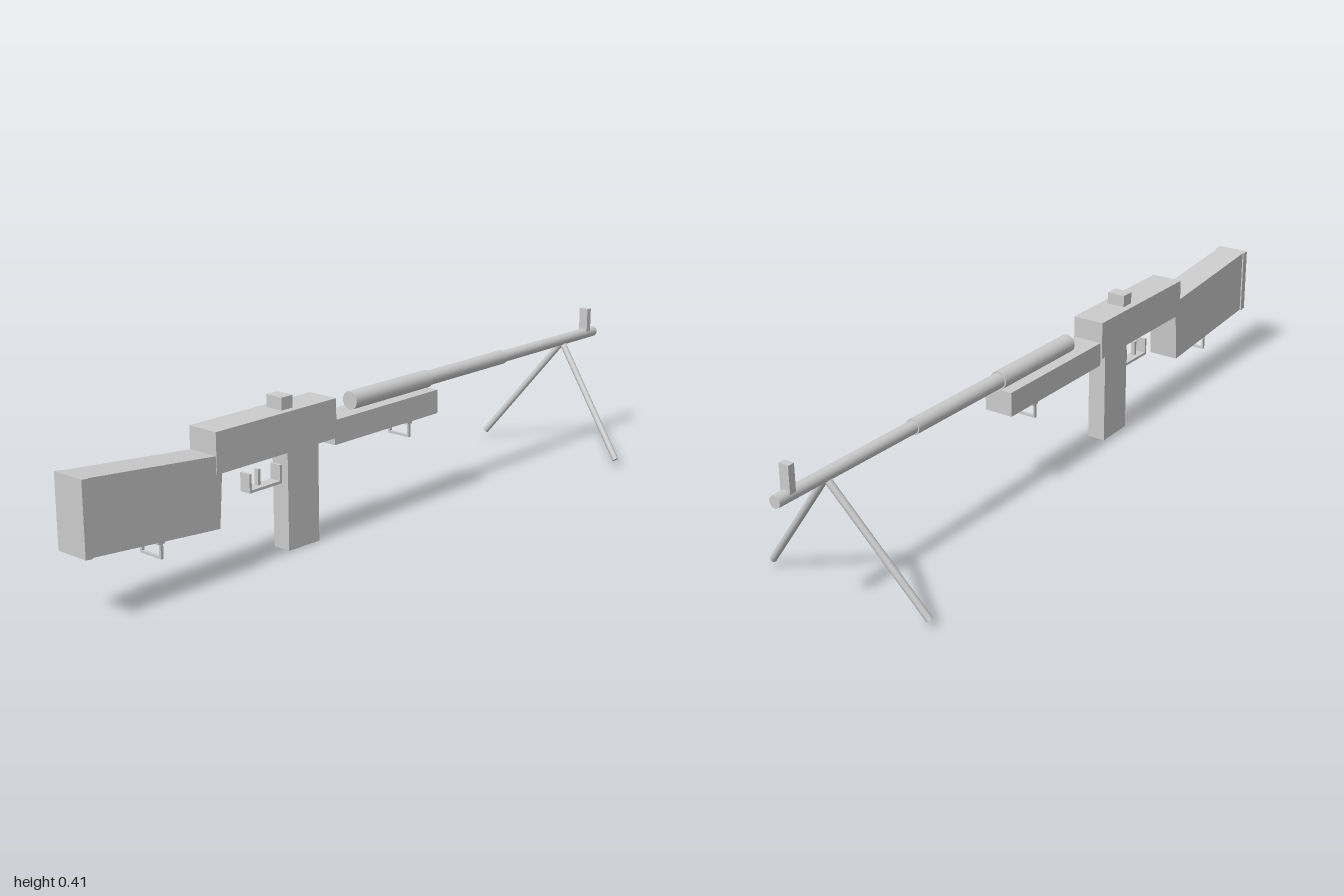
import * as THREE from 'three';

export function createModel() {
  const model = new THREE.Group();
  const mat = new THREE.MeshStandardMaterial({ color: 0xcccccc });
  const add = (name, geo, parent = model) => {
    const mesh = new THREE.Mesh(geo, mat);
    mesh.name = name;
    parent.add(mesh);
    return mesh;
  };
  // Box given by half width and its y and z ranges, centred on x
  const box = (name, hw, y0, y1, z0, z1, x = 0, parent = model) => {
    const m = add(name, new THREE.BoxGeometry(hw * 2, y1 - y0, z1 - z0), parent);
    m.position.set(x, (y0 + y1) / 2, (z0 + z1) / 2);
    return m;
  };
  // Side outline of [z, y] points, extruded across x
  const slab = (name, hw, pts) => {
    const shape = new THREE.Shape(pts.map(([z, y]) => new THREE.Vector2(-z, y)));
    const geo = new THREE.ExtrudeGeometry(shape, { depth: hw * 2, bevelEnabled: false });
    geo.translate(0, 0, -hw).rotateY(Math.PI / 2);
    return add(name, geo);
  };
  // Round rod between two points
  const rod = (name, a, b, r, parent = model) => {
    const dir = b.clone().sub(a);
    const m = add(name, new THREE.CylinderGeometry(r, r, dir.length(), 16), parent);
    m.position.copy(a).add(b).multiplyScalar(0.5);
    m.quaternion.setFromUnitVectors(new THREE.Vector3(0, 1, 0), dir.normalize());
    return m;
  };

  // Stock and butt plate
  slab('stock', 0.043, [[0.98, 0.346], [0.608, 0.31], [0.59, 0.31], [0.59, 0.265], [0.6, 0.13], [0.98, 0.164]]);
  slab('buttPlate', 0.047, [[1, 0.348], [0.98, 0.346], [0.98, 0.163], [1, 0.165]]);

  // Receiver, fore-end and magazine
  box('receiver', 0.045, 0.265, 0.368, 0.2, 0.608);
  box('foreEnd', 0.04, 0.245, 0.31, -0.205, 0.2);
  slab('magazine', 0.026, [[0.355, 0.27], [0.355, 0.003], [0.246, 0], [0.246, 0.27]]);

  // Stepped barrel
  const profile = [[0, -0.1], [0.024, -0.1], [0.024, 0.205], [0.02, 0.205], [0.02, 0.54],
    [0.0165, 0.54], [0.0155, 1], [0, 1]];
  const points = [];
  profile.forEach(([r, l], i) => {
    const v = new THREE.Vector2(r, l);
    points.push(v);
    if (i > 0 && i < profile.length - 1) points.push(v.clone()); // doubled for a hard edge
  });
  const barrel = add('barrel', new THREE.LatheGeometry(points, 24));
  barrel.rotation.x = -Math.PI / 2;
  barrel.position.y = 0.334;

  // Sights
  box('rearSight', 0.026, 0.365, 0.4, 0.335, 0.373);
  box('frontSight', 0.014, 0.34, 0.41, -0.966, -0.948);

  // Trigger guard
  const guard = new THREE.Group();
  guard.name = 'triggerGuard';
  model.add(guard);
  box('guardBar', 0.016, 0.18, 0.187, 0.366, 0.476, 0, guard);
  for (const z of [0.366, 0.469]) box('guardPost', 0.016, 0.187, 0.228, z, z + 0.007, 0, guard);
  box('trigger', 0.006, 0.19, 0.23, 0.429, 0.438, 0, guard);

  // Sling loops: mount block with a square U hanging from it
  for (const [name, top, z] of [['rearSlingLoop', 0.148, 0.775], ['frontSlingLoop', 0.247, -0.095]]) {
    const loop = new THREE.Group();
    loop.name = name;
    model.add(loop);
    box('loopMount', 0.036, top - 0.01, top, z - 0.01, z + 0.01, 0, loop);
    box('loopBar', 0.036, top - 0.046, top - 0.04, z - 0.004, z + 0.004, 0, loop);
    for (const s of [-1, 1]) box('loopSide', 0.003, top - 0.04, top - 0.01, z - 0.004, z + 0.004, s * 0.033, loop);
  }

  // Bipod
  for (const s of [-1, 1]) {
    rod(s > 0 ? 'leftBipodLeg' : 'rightBipodLeg',
      new THREE.Vector3(0, 0.327, -0.84), new THREE.Vector3(s * 0.238, 0.02, -0.787), 0.009);
  }
  return model;
}
